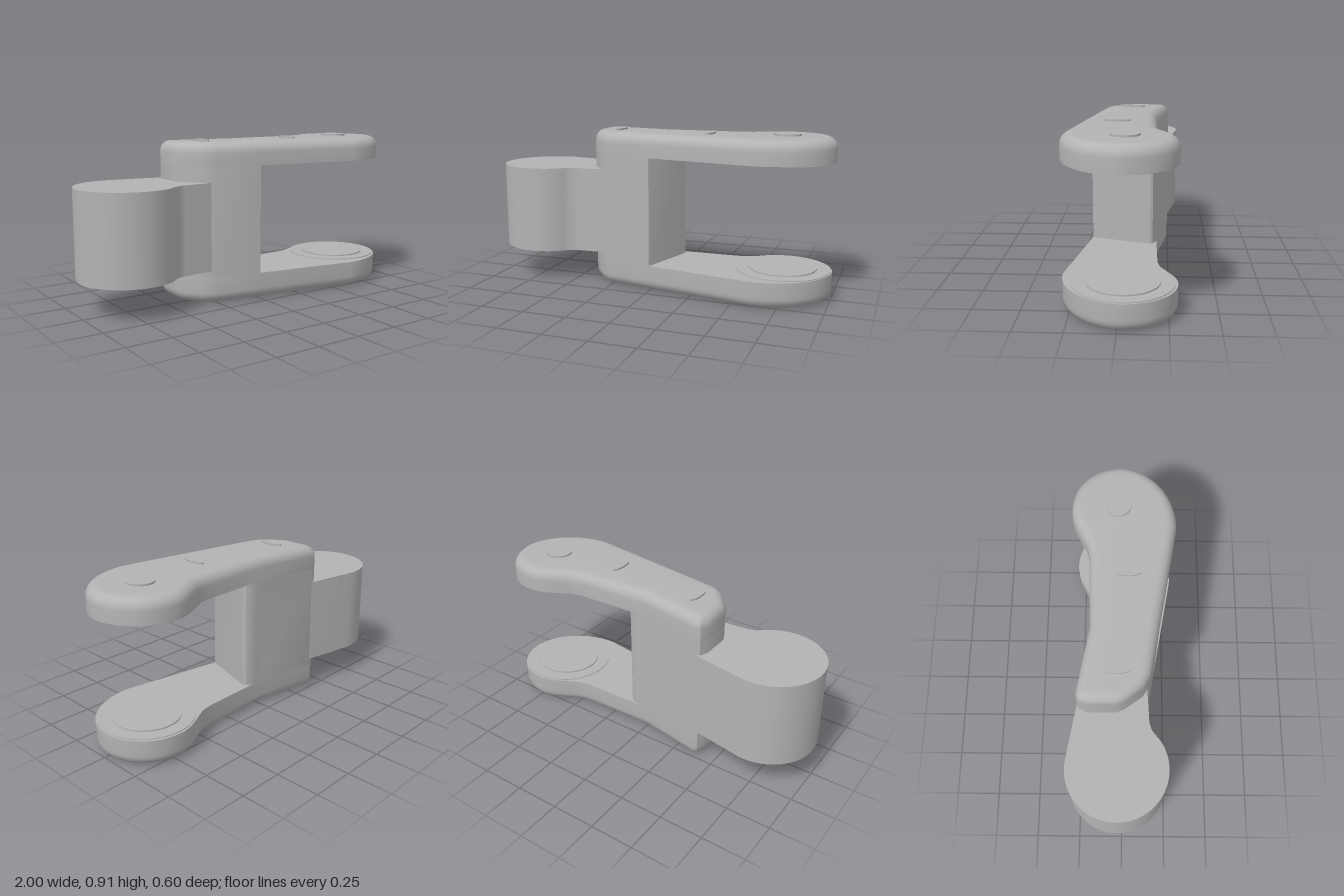
import * as THREE from 'three';
import { toCreasedNormals } from 'three/addons/utils/BufferGeometryUtils.js';

const grey = new THREE.MeshStandardMaterial({ color: 0xb3b3b3 });
grey.name = 'satin grey';

const toPoints = (list) => list.map(([x, z]) => new THREE.Vector2(x, -z));

// Smooth open curve through [x, z] pairs
function smooth(list, divisions) {
  const curve = new THREE.SplineCurve(list.map(([x, z]) => new THREE.Vector2(x, z)));
  return curve.getPoints(divisions).map((p) => [p.x, p.y]);
}

function ellipse(cx, cz, rx, rz, n = 40) {
  return Array.from({ length: n }, (_, i) => {
    const a = (i / n) * Math.PI * 2;
    return [cx + Math.cos(a) * rx, cz + Math.sin(a) * rz];
  });
}

// Moves a closed outline inwards by d, with mitred corners
function inset(points, d) {
  const n = points.length;
  return points.map((p, i) => {
    const e1 = p.clone().sub(points[(i + n - 1) % n]).normalize();
    const e2 = points[(i + 1) % n].clone().sub(p).normalize();
    const n1 = new THREE.Vector2(-e1.y, e1.x);
    const n2 = new THREE.Vector2(-e2.y, e2.x);
    return n1.clone().add(n2).multiplyScalar(d / (1 + n1.dot(n2))).add(p);
  });
}

// Closed solid from a plan outline and rising levels of [y, inset]
function loft(name, outline, levels) {
  const points = toPoints(outline);
  if (THREE.ShapeUtils.isClockWise(points)) points.reverse();
  const n = points.length;
  const position = [];
  const index = [];
  let ring;
  for (const [y, d] of levels) {
    ring = inset(points, d);
    ring.forEach((p) => position.push(p.x, y, -p.y));
  }
  for (let k = 0; k < levels.length - 1; k++) {
    for (let i = 0; i < n; i++) {
      const a = k * n + i;
      const b = k * n + ((i + 1) % n);
      index.push(a, b, b + n, a, b + n, a + n);
    }
  }
  const top = (levels.length - 1) * n;
  for (const [a, b, c] of THREE.ShapeUtils.triangulateShape(points, [])) {
    index.push(top + a, top + b, top + c, a, c, b);
  }
  const geometry = new THREE.BufferGeometry();
  geometry.setAttribute('position', new THREE.Float32BufferAttribute(position, 3));
  geometry.setIndex(index);
  const mesh = new THREE.Mesh(toCreasedNormals(geometry, 0.6), grey);
  mesh.name = name;
  return mesh;
}

export function createModel() {
  const group = new THREE.Group();
  group.name = 'hingeLink';

  // Plan outline shared by the arms and the block
  const heel = [[0, -0.18], [-0.37, -0.247], [-0.4, -0.238], [-0.42, -0.19],
    [-0.42, -0.03], [-0.4, 0.015], [-0.33, 0.11], [-0.27, 0.148], [0, 0.195]];
  const eye = smooth([[0.6, 0.296], [0.645, 0.297], [0.72, 0.285], [0.81, 0.253],
    [0.9, 0.19], [0.97, 0.095], [1, -0.02], [0.97, -0.145], [0.9, -0.235],
    [0.82, -0.28], [0.73, -0.295], [0.65, -0.283], [0.57, -0.245],
    [0.49, -0.205], [0.42, -0.19]], 52);
  const outline = [...heel, ...eye];

  // Arms with rounded outer rims
  const r = 0.06;
  const steps = Array.from({ length: 7 }, (_, i) => {
    const a = (i / 6) * Math.PI / 2;
    return [r * (1 - Math.sin(a)), r * (1 - Math.cos(a))];
  });
  const lower = [...steps].reverse();
  const upper = steps.map(([y, d]) => [0.9 - y, d]);
  group.add(loft('lowerArm', outline, [...lower, [0.15, 0]]));
  group.add(loft('upperArm', outline, [[0.767, 0], ...upper.map(([, d], i) => [0.9 - r + r * Math.sin((i / 6) * Math.PI / 2), d])]));

  // Block joining the arms, with a slanted inner wall
  const wall = [[0.008, 0.185], [0.11, -0.145], [0.105, -0.16], [0.085, -0.173], [0.045, -0.181]];
  group.add(loft('block', [...heel, ...wall], [[0.15, 0], [0.767, 0]]));

  // Rounded tongue at the other end
  const round = [];
  for (let i = 0; i <= 40; i++) {
    const a = -1.39 - (i / 40) * 3.9;
    round.push([-0.725 + 0.277 * Math.cos(a), -0.027 + 0.277 * Math.sin(a)]);
  }
  const neck = smooth([[-0.55, 0.185], [-0.52, 0.162], [-0.48, 0.147], [-0.44, 0.144]], 10);
  group.add(loft('tongue', [[-0.3, -0.225], [-0.365, -0.245], ...round, ...neck, [-0.29, 0.135]],
    [[0.187, 0], [0.682, 0]]));

  // Bearing rings and discs on the inner arm faces
  for (const [side, y, dir] of [['lower', 0.15, 1], ['upper', 0.767, -1]]) {
    const levels = (a, b) => [[y + dir * a, 0], [y + dir * b, 0]].sort((p, q) => p[0] - q[0]);
    group.add(loft(side + 'BearingRing', ellipse(0.727, -0.02, 0.262, 0.262, 64), levels(-0.01, 0.005)));
    group.add(loft(side + 'BearingDisc', ellipse(0.727, -0.02, 0.19, 0.19, 64), levels(-0.01, 0.013)));
  }

  // Pin head and two slim studs on top
  const raised = [[0.895, 0], [0.91, 0]];
  group.add(loft('pinHead', ellipse(0.73, -0.03, 0.075, 0.075), raised));
  for (const [x, z] of [[-0.25, -0.03], [0.31, 0.03]]) {
    group.add(loft('stud', ellipse(x, z, 0.024, 0.072, 24), raised));
  }
  return group;
}
